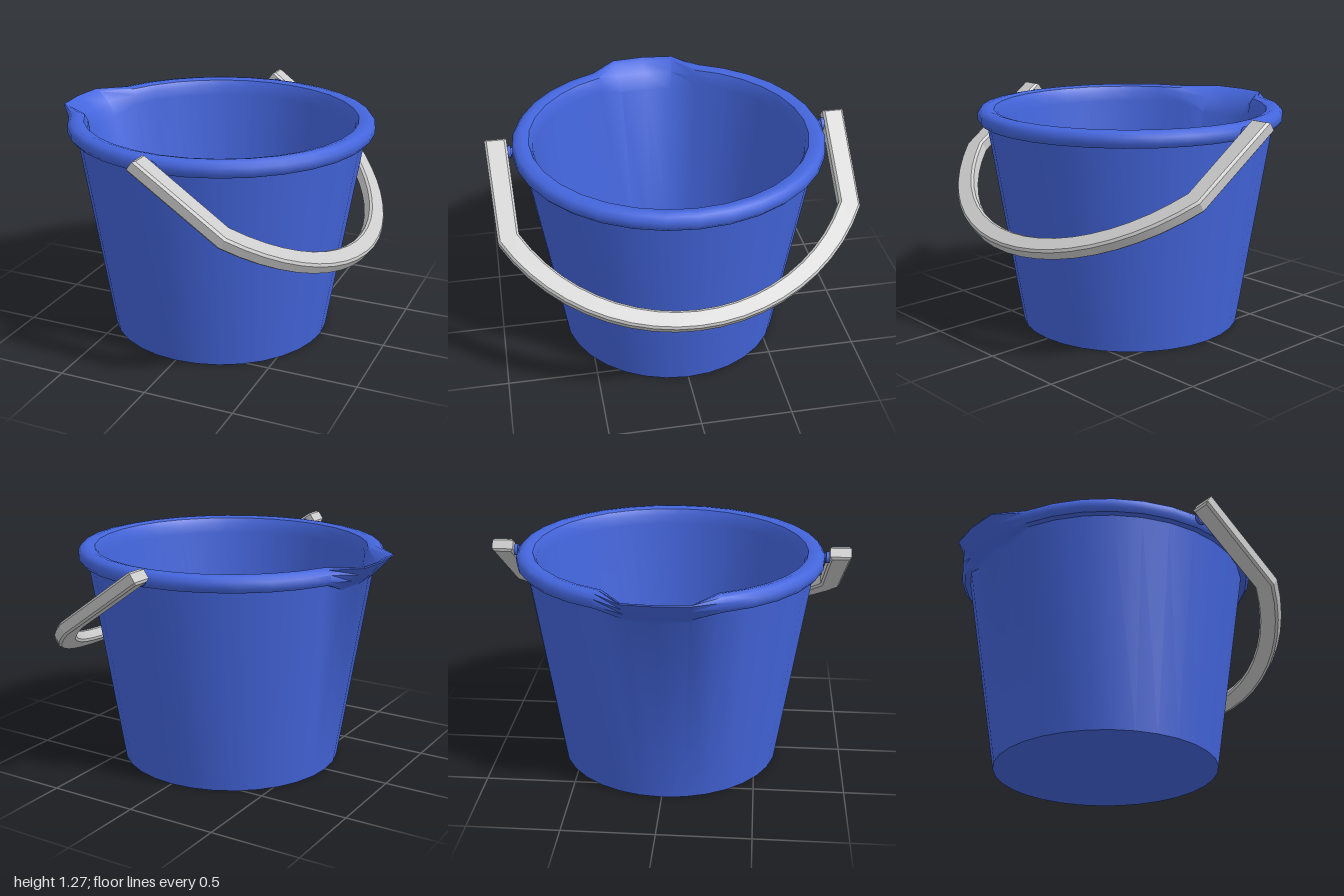
import * as THREE from 'three';
import { toCreasedNormals } from 'three/addons/utils/BufferGeometryUtils.js';

const SIDES = 32;

// Bucket profile (radius, height): floor, outer wall, rolled rim, inner wall, inner floor
const PROFILE = [
  [0, 0], [0.625, 0], [0.805, 1.155], [0.838, 1.158], [0.856, 1.18], [0.856, 1.215], [0.838, 1.238],
  [0.8, 1.245], [0.765, 1.235], [0.747, 1.2], [0.742, 1.15], [0.58, 0.04], [0, 0.04],
];
// The same profile pulled out to a thin lip where the spout is
const SPOUT = [
  [0, 0], [0.625, 0], [0.793, 1.1], [0.815, 1.12], [0.85, 1.155], [0.89, 1.197], [0.926, 1.236],
  [0.924, 1.243], [0.895, 1.232], [0.835, 1.18], [0.775, 1.1], [0.58, 0.04], [0, 0.04],
];

function bucketGeometry() {
  const geometry = new THREE.LatheGeometry(PROFILE.map(([r, y]) => new THREE.Vector2(r, y)), SIDES);
  const pos = geometry.attributes.position;
  const centre = SIDES * 3 / 4; // the -x side
  for (let i = centre - 1; i <= centre + 1; i++) {
    const phi = (i / SIDES) * Math.PI * 2;
    SPOUT.forEach(([r, y], j) => {
      pos.setXYZ(i * SPOUT.length + j, r * Math.sin(phi), y, r * Math.cos(phi));
    });
  }
  return toCreasedNormals(geometry, 0.75);
}

// Points of a circular arc through (s, z), (tip, 0) and (s, -z)
function arcPoints(s, z, tip, steps) {
  const depth = tip - s;
  const radius = (z * z + depth * depth) / (2 * depth);
  const half = Math.asin(z / radius);
  return Array.from({ length: steps + 1 }, (_, i) => {
    const a = half * (1 - (2 * i) / steps);
    return new THREE.Vector2(tip - radius + radius * Math.cos(a), radius * Math.sin(a));
  });
}

// Flat bail: two straight arms joined by an arc, with chamfered edges
function handleGeometry() {
  const steps = 20;
  const shape = new THREE.Shape([
    new THREE.Vector2(0, 0.88), new THREE.Vector2(0, 0.998),
    ...arcPoints(0.587, 0.977, 1.163, steps),
    new THREE.Vector2(0, -0.998), new THREE.Vector2(0, -0.88),
    ...arcPoints(0.55, 0.865, 1.063, steps).reverse(),
  ]);
  const thickness = 0.074, bevel = 0.012;
  const geometry = new THREE.ExtrudeGeometry(shape, {
    depth: thickness - 2 * bevel, bevelEnabled: true, bevelSegments: 1,
    bevelSize: bevel, bevelThickness: bevel, bevelOffset: -bevel,
  });
  geometry.translate(0, 0, -thickness / 2 + bevel);
  // Lay the plane of the handle along its hanging slope
  const c = 0.817, s = Math.sqrt(1 - c * c);
  geometry.applyMatrix4(new THREE.Matrix4().makeBasis(
    new THREE.Vector3(c, -s, 0), new THREE.Vector3(0, 0, -1), new THREE.Vector3(s, c, 0),
  ));
  geometry.translate(-0.05, 1.243, 0);
  return toCreasedNormals(geometry, 0.5);
}

export function createModel() {
  const group = new THREE.Group();
  const blue = new THREE.MeshStandardMaterial({ color: 0x4466dd });
  const grey = new THREE.MeshStandardMaterial({ color: 0xcccccc });

  function add(name, geometry, material) {
    const mesh = new THREE.Mesh(geometry, material);
    mesh.name = name;
    group.add(mesh);
    return mesh;
  }

  add('bucket', bucketGeometry(), blue);
  add('handle', handleGeometry(), grey);

  // Pivot pins with a small collar, front and back
  for (const side of [1, -1]) {
    const pin = add('pivotPin', new THREE.CylinderGeometry(0.022, 0.022, 0.1, 12), blue);
    const collar = add('pivotCollar', new THREE.CylinderGeometry(0.033, 0.033, 0.02, 12), blue);
    pin.rotation.x = collar.rotation.x = Math.PI / 2;
    pin.position.set(0, 1.2, side * 0.88);
    collar.position.set(0, 1.2, side * 0.871);
  }
  return group;
}
